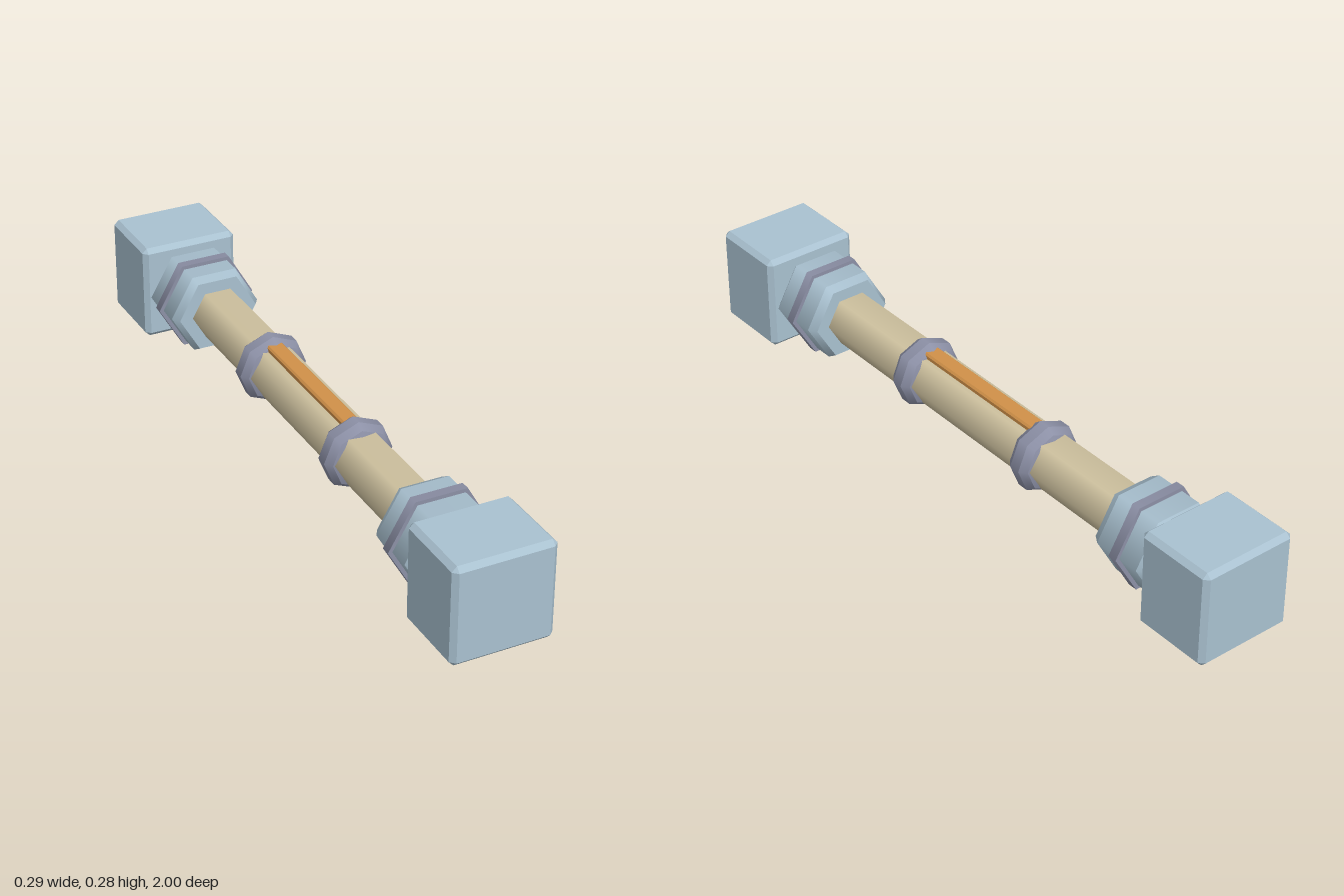
import * as THREE from 'three';
import { ConvexGeometry } from 'three/addons/geometries/ConvexGeometry.js';
import { mergeGeometries } from 'three/addons/utils/BufferGeometryUtils.js';

const AXIS_Y = 0.1385;

// Prism around the z axis from a [z, radius] profile: smooth around, sharp along its length
function prism(profile, sides, capped = true) {
  const parts = [];
  for (let i = 0; i < profile.length - 1; i++) {
    const [z0, r0] = profile[i];
    const [z1, r1] = profile[i + 1];
    const start = sides === 6 ? Math.PI / 6 : 0;
    const g = new THREE.CylinderGeometry(r1, r0, z1 - z0, sides, 1, !capped, start);
    g.rotateX(Math.PI / 2);
    g.translate(0, 0, (z0 + z1) / 2);
    parts.push(g);
  }
  return mergeGeometries(parts);
}

// Box with every edge chamfered by c
function chamferBox(w, h, d, c) {
  const pts = [];
  const [x, y, z] = [w / 2, h / 2, d / 2];
  for (const sx of [-1, 1]) for (const sy of [-1, 1]) for (const sz of [-1, 1]) {
    pts.push(
      new THREE.Vector3(sx * x, sy * (y - c), sz * (z - c)),
      new THREE.Vector3(sx * (x - c), sy * y, sz * (z - c)),
      new THREE.Vector3(sx * (x - c), sy * (y - c), sz * z)
    );
  }
  return new ConvexGeometry(pts);
}

export function createModel() {
  const material = (name, color) => {
    const m = new THREE.MeshStandardMaterial({ color });
    m.name = name;
    return m;
  };
  const paleBlue = material('paleBlue', 0xa9c1d0);
  const tan = material('tan', 0xd2c5a2);
  const slate = material('slate', 0x8c90a6);
  const orange = material('orange', 0xd09048);

  const model = new THREE.Group();
  model.name = 'beam';
  const add = (parent, name, geometry, mat, y = 0, z = 0) => {
    const mesh = new THREE.Mesh(geometry, mat);
    mesh.name = name;
    mesh.position.set(0, y, z);
    parent.add(mesh);
  };

  // Hexagonal shaft with a strip let into its top
  add(model, 'shaft', prism([[-0.8, 0.0775], [0.8, 0.0775]], 6), tan, AXIS_Y);
  add(model, 'topStrip', chamferBox(0.048, 0.04, 0.49, 0.005), orange, 0.2);

  // Both ends, the back one turned half round
  for (const side of ['front', 'back']) {
    const end = new THREE.Group();
    end.name = side + 'End';
    if (side === 'back') end.rotation.y = Math.PI;
    model.add(end);

    add(end, 'endBlock', chamferBox(0.28, 0.277, 0.23, 0.0135), paleBlue, AXIS_Y, 0.885);
    add(end, 'collar', prism(
      [[0.585, 0.116], [0.608, 0.131], [0.75, 0.131], [0.768, 0.113]], 6), paleBlue, AXIS_Y);
    add(end, 'collarRing', prism([[0.664, 0.143], [0.69, 0.143]], 6), slate, AXIS_Y);

    // Octagonal band that sinks into the shaft
    add(end, 'band', prism(
      [[-0.044, 0.06], [-0.036, 0.082], [-0.016, 0.0975], [0.016, 0.0975], [0.036, 0.082], [0.044, 0.06]],
      8), slate, AXIS_Y, 0.247);
  }
  return model;
}
